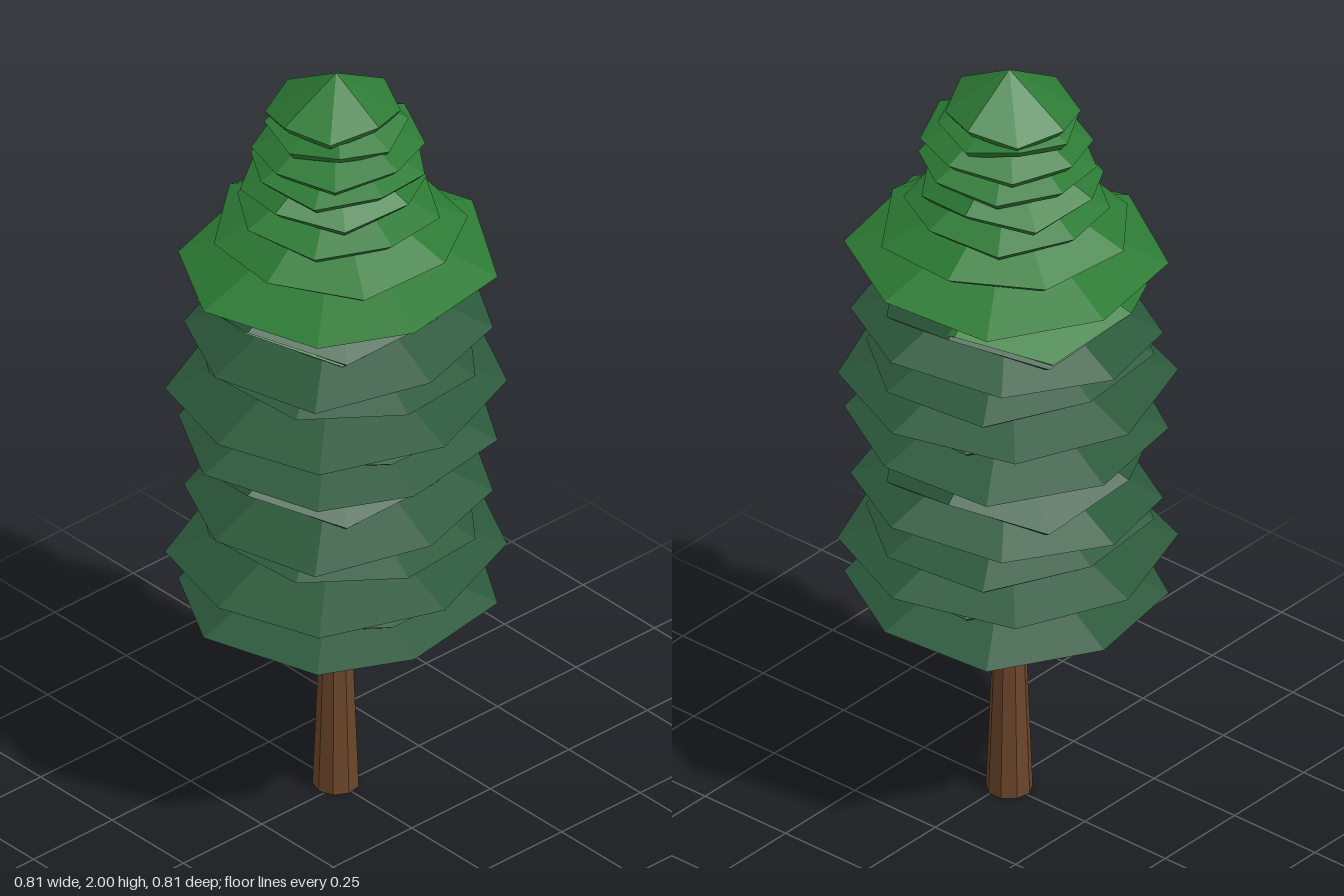
import * as THREE from 'three';

const SIDES = 8;
const AXIS_X = -0.015; // trunk axis

// Hollow umbrella of foliage: outer cone, undercut rim and inner cone.
// y: rim height, r: radius, rot: degrees, h: cone height, cx: rim offset,
// tx / tz: rim slope along x / z, wave: alternate corners up and down,
// twist: small turn of each corner in degrees, t: rim thickness.
function tierGeometry({ y, r, rot = 0, h = 0.165, cx = -0.005, tx = 0, tz = 0, wave = 0.008, twist = [], t = 0.021 }) {
  const outer = [], lip = [];
  for (let i = 0; i < SIDES; i++) {
    const a = THREE.MathUtils.degToRad(rot + (twist[i] ?? 0)) + (i / SIDES) * Math.PI * 2;
    const rr = r * (1 + 0.018 * Math.sin(i * 2.3 + rot));
    const x = cx + Math.cos(a) * rr, z = Math.sin(a) * rr;
    const py = y + tx * x + tz * z + (i % 2 ? -wave : wave);
    outer.push([x, py, z]);
    lip.push([AXIS_X + (x - AXIS_X) * 0.9, py - t, z * 0.9]);
  }
  const top = [AXIS_X, y + h, 0], under = [AXIS_X, y + h - t, 0];
  const pos = [];
  const tri = (...corners) => corners.forEach((c) => pos.push(...c));
  for (let i = 0; i < SIDES; i++) {
    const j = (i + 1) % SIDES;
    tri(outer[i], top, outer[j]);
    tri(outer[i], outer[j], lip[j]);
    tri(outer[i], lip[j], lip[i]);
    tri(lip[i], lip[j], under);
  }
  const geo = new THREE.BufferGeometry();
  geo.setAttribute('position', new THREE.Float32BufferAttribute(pos, 3));
  geo.computeVertexNormals();
  return geo;
}

export function createModel() {
  const material = (name, color) => {
    const m = new THREE.MeshStandardMaterial({ color, flatShading: true });
    m.name = name;
    return m;
  };
  const bark = material('bark brown', 0x6b4529);
  const dark = material('dark green', 0x2b583b);
  const light = material('light green', 0x2c7a34);

  const tree = new THREE.Group();
  tree.name = 'coniferTree';

  // Trunk, flared at the foot
  const profile = [[0, 0], [0.056, 0], [0.051, 0.13], [0.039, 0.44], [0.036, 0.58], [0.03, 1.45], [0, 1.45]];
  const trunk = new THREE.Mesh(
    new THREE.LatheGeometry(profile.map(([x, y]) => new THREE.Vector2(x, y)), 9), bark);
  trunk.name = 'trunk';
  trunk.position.x = AXIS_X;
  tree.add(trunk);

  const addTiers = (name, tiers, mat, lift = 0) => {
    const group = new THREE.Group();
    group.name = name;
    tiers.forEach((tier, i) => {
      const mesh = new THREE.Mesh(tierGeometry(tier), mat);
      mesh.name = `${name}Tier${i + 1}`;
      mesh.position.y = lift;
      group.add(mesh);
    });
    tree.add(group);
  };

  // Dark foliage: the same six tiers stacked twice
  const wide = { y: 0.565, r: 0.385, rot: 9, tx: 0.02, tz: -0.03, twist: [6, -4, -2, -3, 3, 2, -1, 2] };
  const ragged = { y: 0.935, r: 0.315, rot: -10, h: 0.175, cx: -0.035, wave: 0.028 };
  const section = [
    wide,
    { y: 0.63, r: 0.285, rot: 20, h: 0.18, cx: 0.02, tx: -0.03 },
    { y: 0.69, r: 0.404, rot: 1, h: 0.155, cx: -0.004, tx: 0.02, tz: -0.045, twist: [4, 3, -3, -5, 2, 0, -1, 1] },
    { y: 0.775, r: 0.345, rot: 14, cx: -0.01, tx: -0.02, tz: 0.05 },
    { y: 0.845, r: 0.368, rot: 6, h: 0.175, tx: 0.04, tz: -0.07 },
    ragged,
  ];
  addTiers('lowerFoliage', section, dark);
  addTiers('middleFoliage', section, dark, 0.46);

  // Light foliage tapering to the tip
  addTiers('topFoliage', [
    { ...ragged, y: 1.392, r: 0.308, cx: -0.05, tx: -0.04, tz: -0.03 },
    { ...wide, y: 1.485 },
    { y: 1.57, r: 0.305, rot: -14, h: 0.15 },
    { y: 1.637, r: 0.245, rot: 10, h: 0.13, cx: -0.012 },
    { y: 1.7, r: 0.222, rot: -10, h: 0.12, cx: -0.025, wave: 0.014 },
    { y: 1.757, r: 0.212, rot: 12, h: 0.11, cx: -0.01, tx: 0.02 },
    { y: 1.81, r: 0.205, rot: 0, h: 0.1, cx: -0.005, tx: 0.04, tz: -0.04 },
    { y: 1.862, r: 0.17, rot: 40, h: 0.08, cx: -0.012 },
    { y: 1.9, r: 0.16, rot: 0, h: 0.1, cx: -0.025, tx: 0.06, wave: 0.01 },
  ], light);

  return tree;
}
